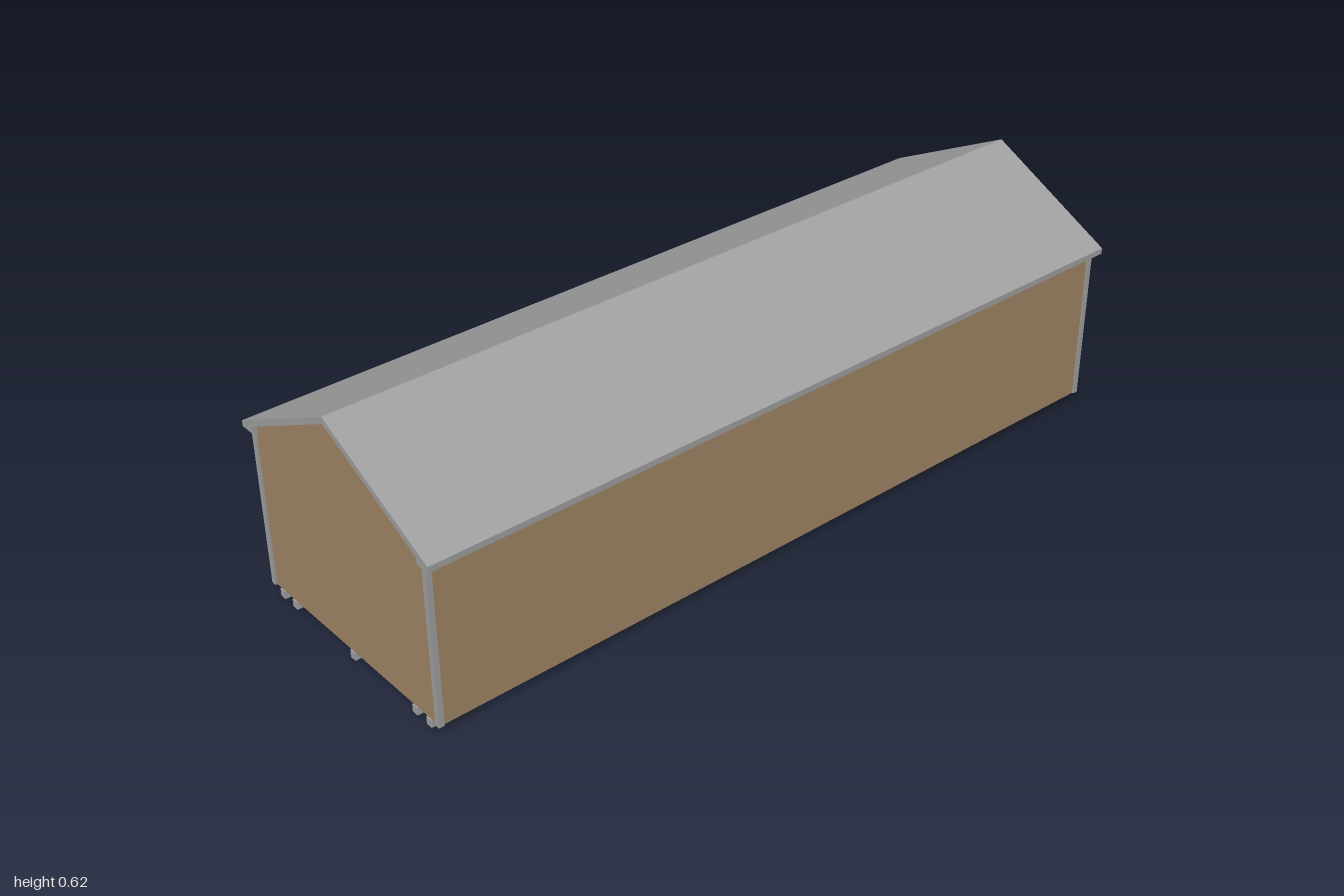
import * as THREE from 'three';

export function createModel() {
  const group = new THREE.Group();
  group.name = 'longShed';
  const metal = new THREE.MeshStandardMaterial({ name: 'greyTrim', color: 0xa0a0a0 });
  const cladding = new THREE.MeshStandardMaterial({ name: 'tanCladding', color: 0xa08565 });

  const add = (name, geometry, material, x = 0, y = 0, z = 0) => {
    const mesh = new THREE.Mesh(geometry, material);
    mesh.name = name;
    mesh.position.set(x, y, z);
    group.add(mesh);
    return mesh;
  };
  // Extrude an outline along z, centred on z = 0
  const prism = (points, depth) => {
    const shape = new THREE.Shape(points.map(([x, y]) => new THREE.Vector2(x, y)));
    return new THREE.ExtrudeGeometry(shape, { depth, bevelEnabled: false }).translate(0, 0, -depth / 2);
  };

  const floorY = 0.02, eaveY = 0.426;

  // Pitched roof with dropped eaves
  add('roof', prism([
    [-0.347, eaveY], [-0.308, eaveY], [-0.308, 0.443], [0, 0.598], [0.308, 0.443], [0.308, eaveY],
    [0.347, eaveY], [0.347, 0.441], [0, 0.615], [-0.347, 0.441],
  ], 2), metal);

  // Thin ceiling lining under the roof, between the end walls
  add('ceiling', prism([
    [-0.307, 0.4425], [-0.307, 0.4405], [0, 0.5955], [0.307, 0.4405], [0.307, 0.4425], [0, 0.5975],
  ], 1.965), cladding);

  // Gable end walls
  const gable = [[-0.318, floorY], [0.318, floorY], [0.318, 0.43], [0.308, 0.443], [0, 0.598], [-0.308, 0.443], [-0.318, 0.43]];
  for (const s of [1, -1]) {
    add(s > 0 ? 'frontWall' : 'backWall', prism(gable, 0.004), cladding, 0, 0, s * 0.985);
  }

  // Long side walls and corner posts; the underside stays open
  const wallHeight = 0.43 - floorY;
  for (const s of [1, -1]) {
    add(s > 0 ? 'leftWall' : 'rightWall', new THREE.BoxGeometry(0.004, wallHeight, 1.97), cladding,
      s * 0.319, floorY + wallHeight / 2, 0);
    for (const e of [1, -1]) {
      add('cornerPost', new THREE.BoxGeometry(0.013, wallHeight, 0.014), metal,
        s * 0.3185, floorY + wallHeight / 2, e * 0.985);
    }
  }

  // Runners under the building
  for (const x of [-0.285, -0.234, 0, 0.234, 0.285]) {
    add('runner', new THREE.BoxGeometry(0.018, floorY, 1.98), metal, x, floorY / 2, 0);
  }
  return group;
}
